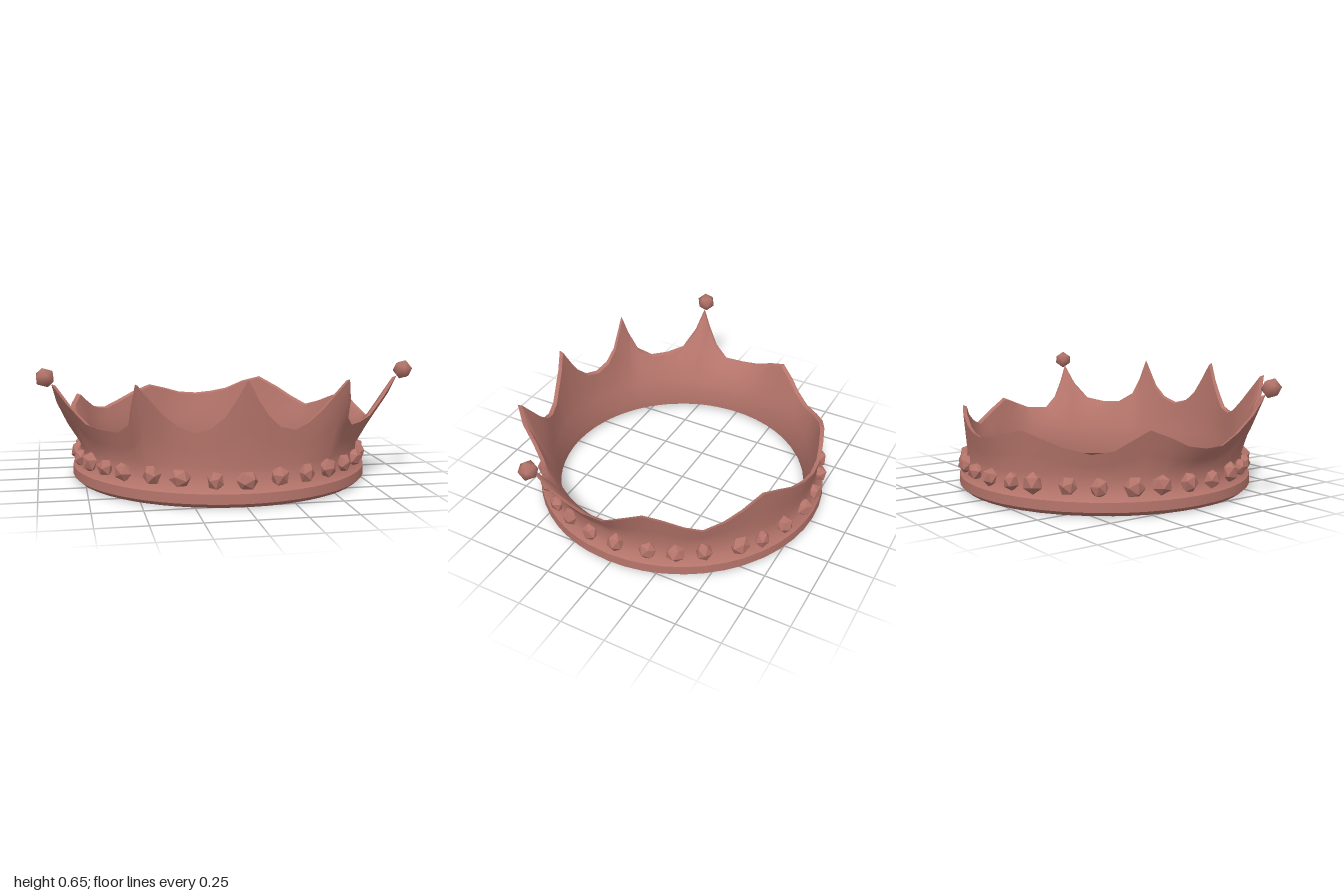
import * as THREE from 'three';
import { mergeVertices, toCreasedNormals } from 'three/addons/utils/BufferGeometryUtils.js';

// Top edge of the crown: [degrees from the front toward +x, height, radius]
const FRONT = [
  [0, .63, .80], [4, .53, .785], [8, .45, .78], [13, .39, .77], [19, .37, .77], [25, .40, .775],
  [30, .46, .80], [36.7, .61, .885], [39, .5, .87], [42, .40, .83], [48, .35, .81], [55, .35, .82],
  [62, .37, .85], [67, .46, .91], [70, .57, .975], [72.5, .47, .935], [76, .38, .88], [81, .32, .84],
];
const BACK = [
  [90, .33, .84], [97, .37, .825], [104, .41, .82], [111, .375, .80], [119, .33, .795], [126, .30, .79],
  [134, .34, .79], [141, .39, .79], [150, .45, .785], [158, .42, .785], [166, .37, .78], [173, .35, .785],
  [180, .34, .79], [188, .35, .79], [195, .38, .785], [203, .41, .785], [211, .38, .79], [220, .34, .79],
  [230, .31, .79], [238, .33, .80], [244, .38, .81], [250, .43, .82], [257, .39, .825], [264, .34, .835],
  [271, .32, .84],
];

function polar(deg, r, y) {
  const a = THREE.MathUtils.degToRad(deg);
  return new THREE.Vector3(r * Math.sin(a), y, r * Math.cos(a));
}

// Closed cross-section of the band: up the outside, over the edge, down the inside
function section([, h, r]) {
  const mid = (t) => [0.765 + (r - 0.765) * t, 0.2 + (h - 0.2) * t];
  const [r1, y1] = mid(0.45);
  return [
    [0.735, 0.005], [0.785, 0.008], [0.81, 0.03], [0.808, 0.08], [0.775, 0.11], [0.765, 0.2],
    [r1, y1], [r, h],
    [r - 0.022, h - 0.008], [r1 - 0.03, y1], [0.725, 0.2], [0.70, 0.09], [0.70, 0.03],
  ];
}

function bandGeometry() {
  const mirrored = FRONT.slice(1).reverse().map(([d, h, r]) => [360 - d, h, r]);
  const stations = [...FRONT, ...BACK, ...mirrored];
  const n = stations.length, positions = [], index = [];
  let m = 0;
  stations.forEach((s) => {
    const pts = section(s);
    m = pts.length;
    pts.forEach(([r, y]) => positions.push(...polar(s[0], r, y).toArray()));
  });
  for (let i = 0; i < n; i++) {
    for (let j = 0; j < m; j++) {
      const i2 = (i + 1) % n, j2 = (j + 1) % m;
      const a = i * m + j, b = i2 * m + j, c = i2 * m + j2, d = i * m + j2;
      index.push(a, b, c, a, c, d);
    }
  }
  const g = new THREE.BufferGeometry();
  g.setAttribute('position', new THREE.Float32BufferAttribute(positions, 3));
  g.setIndex(index);
  return toCreasedNormals(g, 0.75);
}

// Low-poly ball with smooth shading
function ballGeometry(radius) {
  let g = new THREE.IcosahedronGeometry(radius, 0);
  g.deleteAttribute('normal');
  g.deleteAttribute('uv');
  g = mergeVertices(g);
  g.computeVertexNormals();
  return g;
}

export function createModel() {
  const crown = new THREE.Group();
  crown.name = 'crown';
  const copper = new THREE.MeshStandardMaterial({ color: 0xb4746a });
  copper.name = 'dusty copper';

  let seed = 7;
  const rand = () => (seed = (seed * 16807) % 2147483647) / 2147483647;

  const band = new THREE.Mesh(bandGeometry(), copper);
  band.name = 'band';
  crown.add(band);

  // Balls on the two side points
  const ball = ballGeometry(0.053);
  for (const side of [-1, 1]) {
    const tip = new THREE.Mesh(ball, copper);
    tip.name = side > 0 ? 'leftTipBall' : 'rightTipBall';
    tip.position.set(side * 0.947, 0.605, 0.34);
    tip.rotation.set(0.2, 0, side * 0.3);
    crown.add(tip);
  }

  // Rough stones set in the groove around the band
  const gems = new THREE.Group();
  gems.name = 'gems';
  const rough = new THREE.IcosahedronGeometry(0.05, 0);
  const count = 31;
  for (let i = 0; i < count; i++) {
    const deg = (i * 360) / count + (i ? (rand() - 0.5) * 3 : 0);
    const holder = new THREE.Group();
    holder.name = 'gem';
    holder.position.copy(polar(deg, 0.778, 0.145 + (rand() - 0.5) * 0.015));
    holder.rotation.y = THREE.MathUtils.degToRad(deg);
    holder.scale.set(0.85 + rand() * 0.3, 0.95 + rand() * 0.2, 0.75 + rand() * 0.25);
    const gem = new THREE.Mesh(rough, copper);
    gem.name = 'gemStone';
    gem.rotation.set(rand() * 6, rand() * 6, rand() * 6);
    holder.add(gem);
    gems.add(holder);
  }
  crown.add(gems);
  return crown;
}
